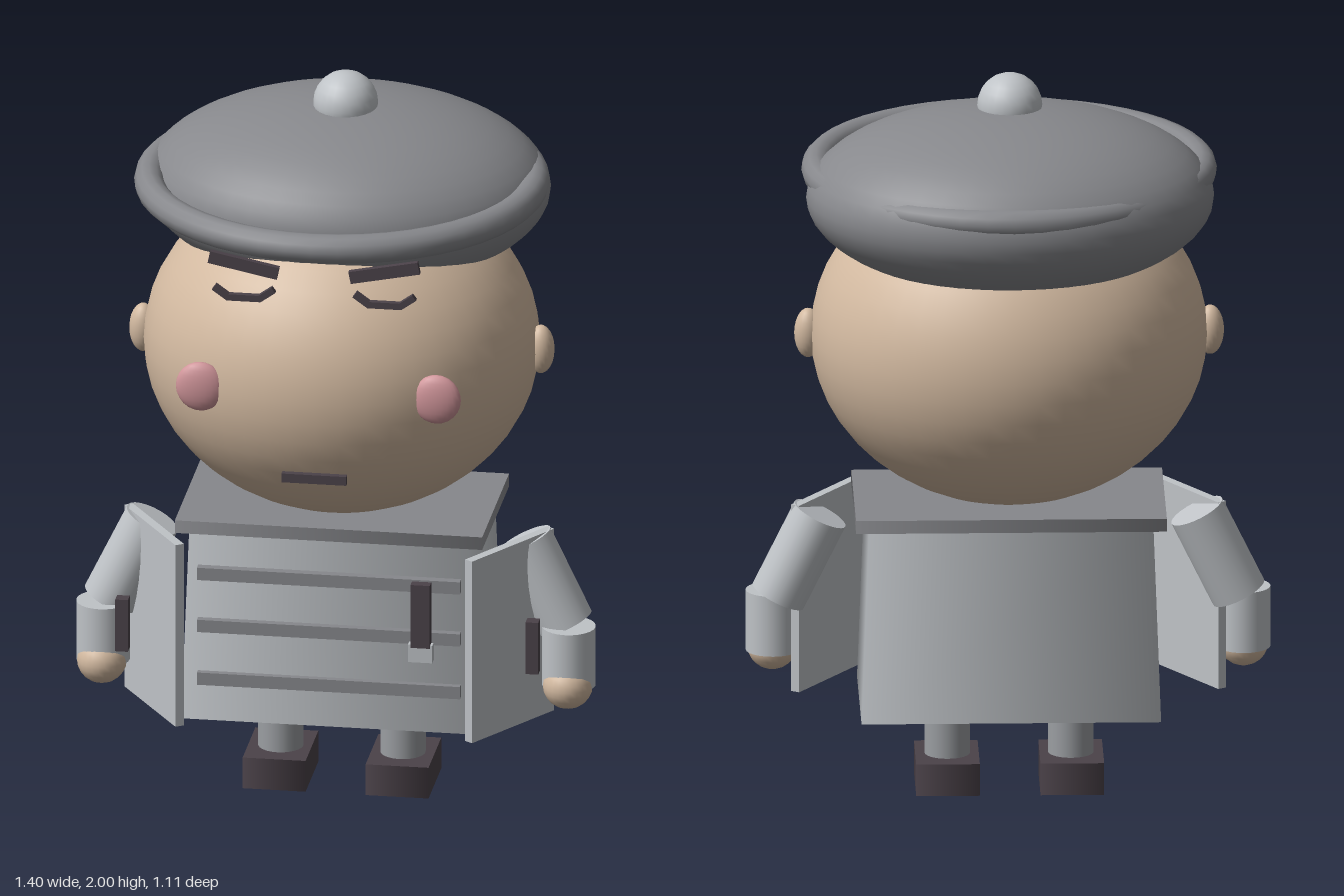
import * as THREE from 'three';

const mat = (name, color) => Object.assign(new THREE.MeshStandardMaterial({ color }), { name });

export function createModel() {
  const skin = mat('skin', 0xd2b9a0);
  const capGrey = mat('cap grey', 0x87888c);
  const cloth = mat('light cloth', 0xbfc3c7);
  const legGrey = mat('trouser grey', 0x9b9ea2);
  const dark = mat('dark brown', 0x4b4249);
  const pink = mat('blush pink', 0xd0959a);

  const root = new THREE.Group();
  root.name = 'capped figure';

  const add = (name, geometry, material, x, y, z, parent = root) => {
    const mesh = new THREE.Mesh(geometry, material);
    mesh.name = name;
    mesh.position.set(x, y, z);
    parent.add(mesh);
    return mesh;
  };
  const ball = (rx, ry, rz, seg = 32) => new THREE.SphereGeometry(1, seg, seg / 2).scale(rx, ry, rz);
  const box = (w, h, d) => new THREE.BoxGeometry(w, h, d);
  // four-sided tapered block with soft corner normals
  const block = (w, h, d, top = 1) =>
    new THREE.CylinderGeometry(Math.SQRT1_2 * top, Math.SQRT1_2, 1, 4)
      .rotateY(Math.PI / 4).scale(w, h, d);
  // cylinder between two points
  const rod = (name, a, b, r, material, parent) => {
    const p = new THREE.Vector3(...a), q = new THREE.Vector3(...b);
    const dir = q.clone().sub(p);
    const mid = p.clone().add(q).multiplyScalar(0.5);
    const mesh = add(name, new THREE.CylinderGeometry(r, r, dir.length(), 24), material, mid.x, mid.y, mid.z, parent);
    mesh.quaternion.setFromUnitVectors(new THREE.Vector3(0, 1, 0), dir.normalize());
    return mesh;
  };

  // head and cap
  add('head', ball(0.53, 0.46, 0.5, 48), skin, 0, 1.26, 0);
  add('capDome', ball(0.545, 0.24, 0.453, 48), capGrey, 0, 1.67, -0.1);
  add('capRing', new THREE.TorusGeometry(0.515, 0.04, 12, 48).rotateX(Math.PI / 2), capGrey, 0, 1.717, 0);
  add('capPom', ball(0.087, 0.087, 0.087, 24), cloth, 0, 1.913, -0.065);
  add('mouth', box(0.175, 0.025, 0.018), dark, 0, 1.047, 0.488);

  // torso with three front bands and a hanging clasp
  add('torso', block(0.8, 0.535, 0.45, 0.95), cloth, 0, 0.5025, 0);
  add('collar', block(0.83, 0.036, 0.475), capGrey, 0, 0.788, 0);
  for (const y of [0.657, 0.508, 0.357])
    add('chestBand', box(0.71, 0.035, 0.04), capGrey, 0, y, 0.22);
  add('claspStrap', box(0.052, 0.18, 0.035), dark, 0.252, 0.58, 0.25);
  add('claspEnd', box(0.066, 0.05, 0.035), cloth, 0.251, 0.472, 0.245);

  // paired parts
  for (const s of [1, -1]) {
    const side = new THREE.Group();
    side.name = s > 0 ? 'leftSide' : 'rightSide';
    root.add(side);

    add('ear', ball(0.037, 0.068, 0.037, 24), skin, s * 0.537, 1.262, 0, side);
    add('cheek', ball(0.066, 0.069, 0.026, 24), pink, s * 0.319, 1.265, 0.416, side);
    add('eyebrow', box(0.19, 0.034, 0.017), dark, s * 0.19, 1.65, 0.491, side).rotation.z = s * 0.2;

    // closed eye as three short strokes
    const lid = [[-0.078, 1.58], [-0.043, 1.555], [0.043, 1.555], [0.078, 1.58]];
    for (let i = 0; i < 3; i++) {
      const [x0, y0] = lid[i], [x1, y1] = lid[i + 1];
      const stroke = add('eyelid', box(Math.hypot(x1 - x0, y1 - y0) + 0.006, 0.018, 0.017), dark,
        s * 0.19 + (x0 + x1) / 2, (y0 + y1) / 2, 0.487, side);
      stroke.rotation.z = Math.atan2(y1 - y0, x1 - x0);
    }

    // open coat flap and its toggle
    add('coatFlap', box(0.328, 0.52, 0.025), cloth, s * 0.48, 0.508, 0.178, side).rotation.y = s * 0.99;
    add('toggle', box(0.034, 0.148, 0.034), dark, s * 0.554, 0.508, 0.252, side);

    // arm
    rod('upperSleeve', [s * 0.503, 0.738, 0.06], [s * 0.615, 0.508, 0.066], 0.076, cloth, side);
    rod('lowerSleeve', [s * 0.629, 0.515, 0.105], [s * 0.629, 0.348, 0.105], 0.072, cloth, side);
    add('hand', ball(0.067, 0.064, 0.067, 24), skin, s * 0.629, 0.353, 0.125, side);

    // leg
    rod('leg', [s * 0.165, 0.25, 0], [s * 0.165, 0.08, 0], 0.061, legGrey, side);
    add('shoe', block(0.17, 0.088, 0.225), dark, s * 0.166, 0.044, 0, side);
  }
  return root;
}
